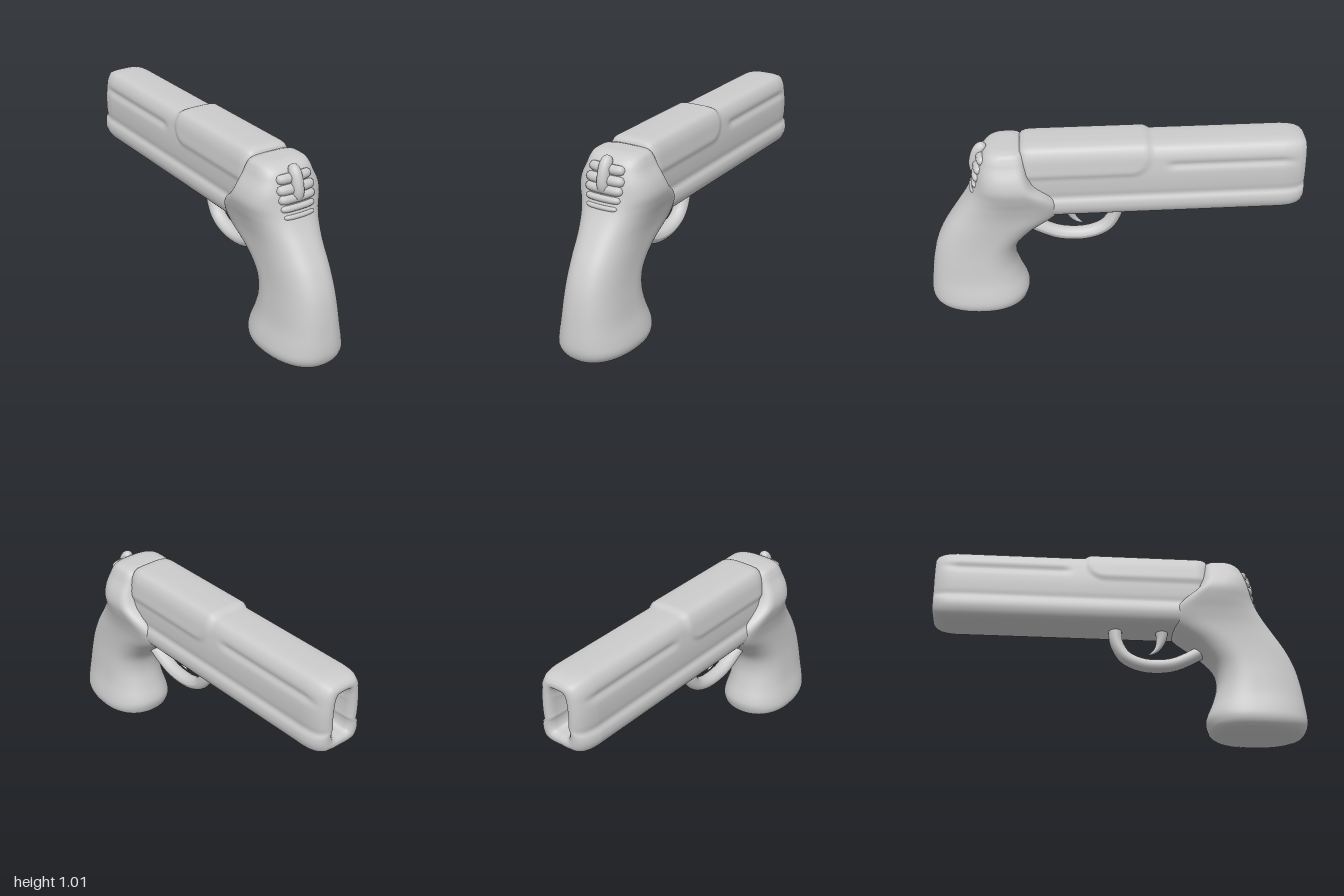
import * as THREE from 'three';

const material = new THREE.MeshStandardMaterial({ color: 0xcccccc });
const smooth = THREE.MathUtils.smoothstep;

function add(group, name, geometry) {
  const mesh = new THREE.Mesh(geometry, material);
  mesh.name = name;
  group.add(mesh);
  return mesh;
}

// Skin a stack of closed rings ([x, y, z] points, counter-clockwise about the stacking axis)
function loft(rings) {
  const n = rings[0].length;
  const index = [];
  for (let i = 0; i < rings.length - 1; i++) {
    for (let j = 0; j < n; j++) {
      const k = (j + 1) % n;
      const a = i * n + j, b = i * n + k, c = a + n, d = b + n;
      index.push(a, b, d, a, d, c);
    }
  }
  const geometry = new THREE.BufferGeometry();
  geometry.setAttribute('position', new THREE.Float32BufferAttribute(rings.flat(2), 3));
  geometry.setIndex(index);
  geometry.computeVertexNormals();
  return geometry;
}

// Round tube whose radius follows a function of its length, 0 to 1
function taperedTube(points, radiusAt, segments = 32, sides = 16) {
  const curve = new THREE.CatmullRomCurve3(points.map((p) => new THREE.Vector3(...p)));
  const geometry = new THREE.TubeGeometry(curve, segments, 1, sides);
  const pos = geometry.attributes.position;
  const v = new THREE.Vector3();
  for (let i = 0; i < pos.count; i++) {
    const t = Math.floor(i / (sides + 1)) / segments;
    const centre = curve.getPointAt(t);
    v.fromBufferAttribute(pos, i).sub(centre).multiplyScalar(radiusAt(t)).add(centre);
    pos.setXYZ(i, v.x, v.y, v.z);
  }
  geometry.computeVertexNormals();
  return geometry;
}

// Grip rows: y, inner z, outer z, z of widest point, half width, inner squareness, outer squareness
const gripRows = [
  [0.004, 0.58, 0.93, 0.72, 0.13, 0.9, 0.9],
  [0.02, 0.50, 0.97, 0.71, 0.175, 0.9, 0.9],
  [0.06, 0.47, 0.995, 0.70, 0.198, 0.9, 0.85],
  [0.11, 0.465, 1.0, 0.70, 0.194, 0.9, 0.85],
  [0.20, 0.50, 0.99, 0.70, 0.171, 0.9, 0.8],
  [0.30, 0.525, 0.975, 0.70, 0.158, 0.9, 0.8],
  [0.40, 0.505, 0.95, 0.68, 0.15, 0.85, 0.8],
  [0.50, 0.41, 0.905, 0.63, 0.15, 0.75, 0.8],
  [0.60, 0.295, 0.84, 0.56, 0.158, 0.5, 0.8],
  [0.68, 0.29, 0.785, 0.52, 0.177, 0.4, 0.8],
  [0.74, 0.335, 0.75, 0.51, 0.197, 0.42, 0.8],
  [0.80, 0.41, 0.725, 0.52, 0.21, 0.45, 0.75],
  [0.86, 0.44, 0.71, 0.53, 0.197, 0.5, 0.7],
  [0.92, 0.45, 0.69, 0.54, 0.165, 0.5, 0.65],
  [0.96, 0.455, 0.67, 0.55, 0.147, 0.5, 0.65],
  [0.985, 0.47, 0.64, 0.55, 0.128, 0.55, 0.7],
  [0.996, 0.50, 0.60, 0.55, 0.09, 0.7, 0.7],
];

// Smooth (cubic Hermite) lookup of a grip row at any height
function gripAt(y) {
  const R = gripRows, last = R.length - 1;
  let i = 0;
  while (i < last - 1 && y > R[i + 1][0]) i++;
  const h = R[i + 1][0] - R[i][0];
  const t = (y - R[i][0]) / h;
  const slope = (k, c) => {
    const a = R[Math.max(k - 1, 0)], b = R[Math.min(k + 1, last)];
    return (b[c] - a[c]) / (b[0] - a[0]);
  };
  return R[i].map((p, c) => {
    if (c === 0) return y;
    const q = R[i + 1][c];
    return p + (q - p) * t * t * (3 - 2 * t)
      + h * t * (1 - t) * ((1 - t) * slope(i, c) - t * slope(i + 1, c));
  });
}

function gripRing([y, inner, outer, mid, w, eIn, eOut], scale = 1) {
  const pow = (v, e) => Math.sign(v) * Math.abs(v) ** e;
  return Array.from({ length: 64 }, (_, j) => {
    const a = (j / 64) * Math.PI * 2;
    const c = Math.cos(a), e = c > 0 ? eOut : eIn;
    const reach = c > 0 ? outer - mid : mid - inner;
    return [scale * w * pow(Math.sin(a), e), y, mid + scale * reach * pow(c, e)];
  });
}

// z of the grip's outer face at (x, y)
function gripFace(x, y) {
  const [, , outer, mid, w, , e] = gripAt(y);
  return mid + (outer - mid) * (1 - (Math.abs(x) / w) ** (2 / e)) ** (e / 2);
}

function gripGeometry() {
  const first = gripRows[0], last = gripRows[gripRows.length - 1];
  const rings = [gripRing(first, 0), gripRing(first, 0.6)];
  for (let i = 0; i < gripRows.length - 1; i++) {
    for (let s = 0; s < 4; s++) {
      rings.push(gripRing(gripAt(THREE.MathUtils.lerp(gripRows[i][0], gripRows[i + 1][0], s / 4))));
    }
  }
  rings.push(gripRing(last), gripRing(last, 0.6), gripRing(last, 0));
  return loft(rings);
}

function barrelGeometry() {
  // Half cross-section, bottom to top, with a rail groove along the side
  const half = new THREE.CatmullRomCurve3([
    [0, 0.6], [0.08, 0.601], [0.127, 0.615], [0.149, 0.655], [0.148, 0.7], [0.135, 0.725],
    [0.139, 0.76], [0.141, 0.83], [0.135, 0.9], [0.124, 0.955], [0.1, 0.99], [0.06, 1.0], [0, 1.002],
  ].map(([x, y]) => new THREE.Vector3(x, y, 0))).getSpacedPoints(56);
  const profile = [...half, ...half.slice(1, -1).reverse().map((p) => new THREE.Vector3(-p.x, p.y, 0))];

  // Stations: z, x scale, y scale; starting inside the muzzle slot
  const stations = [
    [-0.84, 0, 0], [-0.84, 0.3, 0.58], [-0.96, 0.35, 0.62], [-0.985, 0.39, 0.645], [-0.997, 0.47, 0.69],
    [-1, 0.58, 0.76], [-0.996, 0.7, 0.84], [-0.982, 0.82, 0.91], [-0.955, 0.92, 0.963], [-0.92, 0.975, 0.99],
  ];
  for (let z = -0.88; z < 0.43; z += 0.015) stations.push([z, 1, 1]);
  stations.push([0.45, 0.98, 0.99], [0.47, 0.93, 0.96], [0.483, 0.82, 0.9], [0.486, 0.6, 0.7], [0.486, 0, 0]);

  return loft(stations.map(([z, sx, sy]) => profile.map((p) => {
    // Raised rear cover with a rounded lower corner
    const dz = Math.max(-0.08 - z, 0), dy = Math.max(0.95 - p.y, 0);
    const cover = 1 - smooth(Math.hypot(dz, dy), 0.08, 0.115);
    // Shallow groove along the forward half
    const groove = Math.exp(-(((p.y - 0.895) / 0.018) ** 2))
      * (1 - smooth(z, -0.32, -0.24)) * smooth(z, -0.95, -0.88);
    const x = Math.abs(p.x) + Math.min(1, Math.abs(p.x) / 0.05) * (0.01 * cover - 0.011 * groove);
    const y = p.y + 0.014 * cover * smooth(p.y, 0.9, 1);
    return [Math.sign(p.x) * x * sx, 0.81 + (y - 0.81) * sy, z];
  })));
}

export function createModel() {
  const model = new THREE.Group();
  model.name = 'prop';
  add(model, 'grip', gripGeometry());
  add(model, 'barrel', barrelGeometry());

  // Guard loop and the hooked lever inside it
  const guard = add(model, 'guard', taperedTube([
    [0, 0.53, 0.50], [0, 0.46, 0.39], [0, 0.413, 0.28], [0, 0.408, 0.14],
    [0, 0.45, 0.04], [0, 0.53, -0.01], [0, 0.63, -0.018],
  ], () => 0.036, 48));
  guard.scale.x = 1.15;
  add(model, 'lever', taperedTube([
    [0, 0.63, 0.235], [0, 0.56, 0.232], [0, 0.505, 0.21], [0, 0.478, 0.18], [0, 0.468, 0.158],
  ], (t) => 0.032 * (1 - t) + 0.008 * Math.sqrt(1 - t)));

  // Ribs wrapped across the grip's outer face, with a raised thumb ridge over them
  const ribs = new THREE.Group();
  ribs.name = 'ribs';
  model.add(ribs);
  [0.93, 0.88, 0.835, 0.79, 0.75].forEach((y, i) => {
    const reach = [0.1, 0.108, 0.106, 0.1, 0.09][i];
    const thickness = [0.026, 0.027, 0.025, 0.018, 0.013][i];
    const points = [-1, -0.6, -0.2, 0.2, 0.6, 1].map((s) => [s * reach, y, gripFace(s * reach, y) - 0.004]);
    add(ribs, 'rib' + (i + 1), taperedTube(points,
      (t) => thickness * Math.max(0, 1 - Math.abs(2 * t - 1) ** 8) ** 0.5, 24, 12));
  });
  add(model, 'thumbRidge', taperedTube([
    [0, 0.81, 0.705], [0, 0.86, 0.717], [0, 0.91, 0.71], [0, 0.955, 0.69], [0, 0.985, 0.655],
  ], (t) => 0.031 * Math.max(0, 1 - Math.abs(2 * t - 1) ** 6) ** 0.5));
  return model;
}
